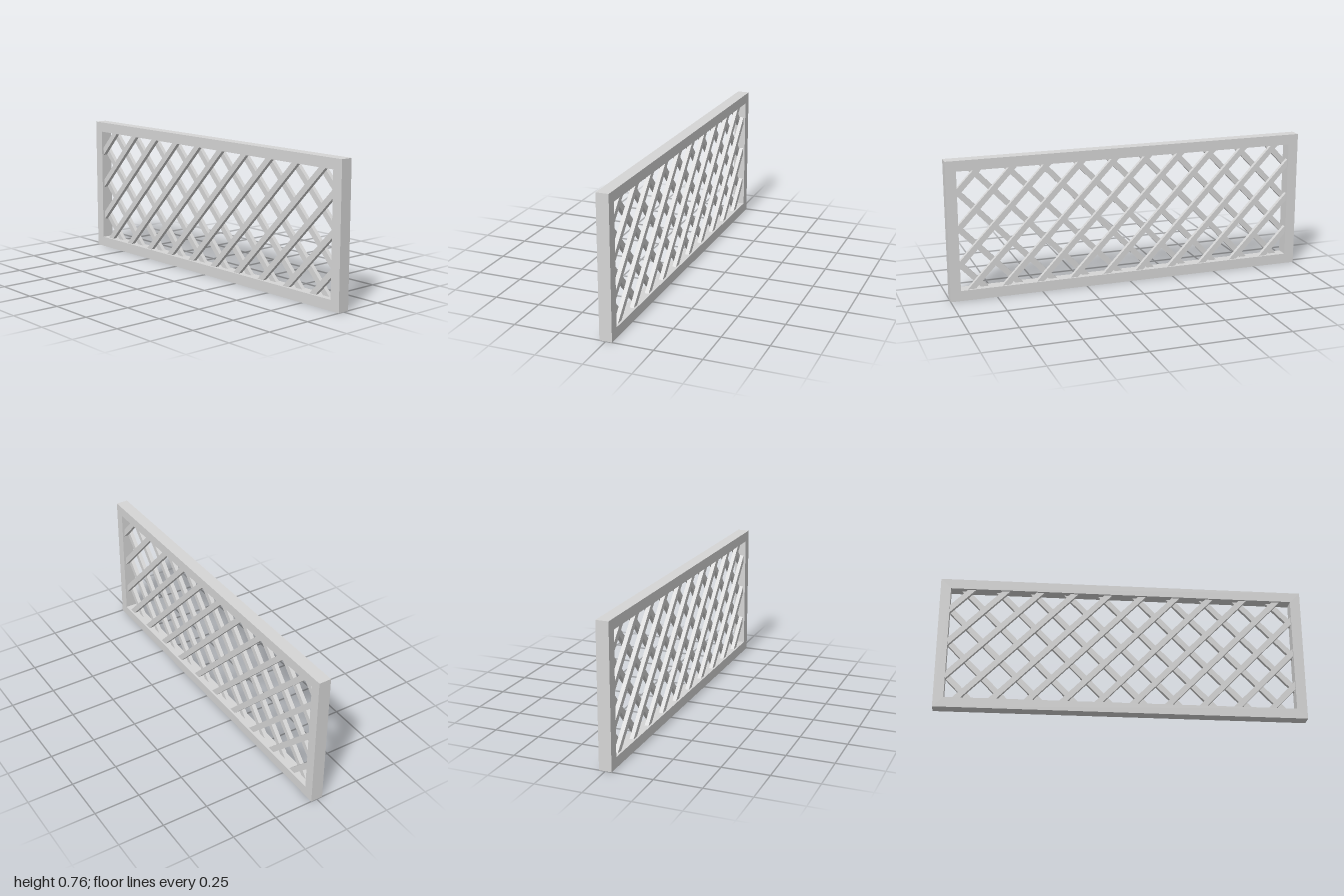
import * as THREE from 'three';

const H = 0.757, DEPTH = 0.067, BORDER = 0.056;
const SLAT_W = 0.031, SLAT_D = 0.022;
const STEP = 0.188, SLOPE = 1.045; // slat spacing along x, slat rise over run

// Cut a convex polygon to the side where p[axis] * sign <= limit
function cut(points, axis, sign, limit) {
  const out = [];
  points.forEach((a, i) => {
    const b = points[(i + 1) % points.length];
    const da = a[axis] * sign - limit, db = b[axis] * sign - limit;
    if (da <= 0) out.push(a);
    if (da * db < 0) out.push(a.clone().lerp(b, da / (da - db)));
  });
  return out;
}

function extrude(shape, depth) {
  return new THREE.ExtrudeGeometry(shape, { depth, bevelEnabled: false });
}

export function createModel() {
  const model = new THREE.Group();
  model.name = 'latticePanel';
  const lightGrey = new THREE.MeshStandardMaterial({ color: 0xd6d6d6 });
  lightGrey.name = 'lightGrey';

  // Rectangular frame with one opening
  const outer = new THREE.Shape([
    new THREE.Vector2(-1, 0), new THREE.Vector2(1, 0),
    new THREE.Vector2(1, H), new THREE.Vector2(-1, H)]);
  const ix = 1 - BORDER, y0 = BORDER, y1 = H - BORDER;
  outer.holes.push(new THREE.Path([
    new THREE.Vector2(-ix, y0), new THREE.Vector2(-ix, y1),
    new THREE.Vector2(ix, y1), new THREE.Vector2(ix, y0)]));
  const frame = new THREE.Mesh(extrude(outer, DEPTH).translate(0, 0, -DEPTH / 2), lightGrey);
  frame.name = 'frame';
  model.add(frame);

  // Two layers of diagonal slats: rising to the right in front, to the left behind
  const half = SLAT_W / 2 * Math.hypot(1, SLOPE) / SLOPE; // half width along x
  const inset = 0.004;                                    // slat ends sink into the frame
  for (const dir of [1, -1]) {
    const layer = new THREE.Group();
    layer.name = dir > 0 ? 'frontSlats' : 'backSlats';
    for (let k = -5; k <= 7; k++) {
      const xAt = (y) => STEP * (k + 0.5) + (y - 0.684) / SLOPE;
      let pts = [[-half, 0], [half, 0], [half, H], [-half, H]]
        .map(([dx, y]) => new THREE.Vector2(dir * (xAt(y) + dx), y));
      pts = cut(pts, 'x', 1, ix + inset);
      pts = cut(pts, 'x', -1, ix + inset);
      pts = cut(pts, 'y', 1, y1 + inset);
      pts = cut(pts, 'y', -1, -(y0 - inset));
      const geometry = extrude(new THREE.Shape(pts), SLAT_D);
      geometry.translate(0, 0, dir > 0 ? 0 : -SLAT_D);
      const slat = new THREE.Mesh(geometry, lightGrey);
      slat.name = 'slat';
      layer.add(slat);
    }
    model.add(layer);
  }
  return model;
}
